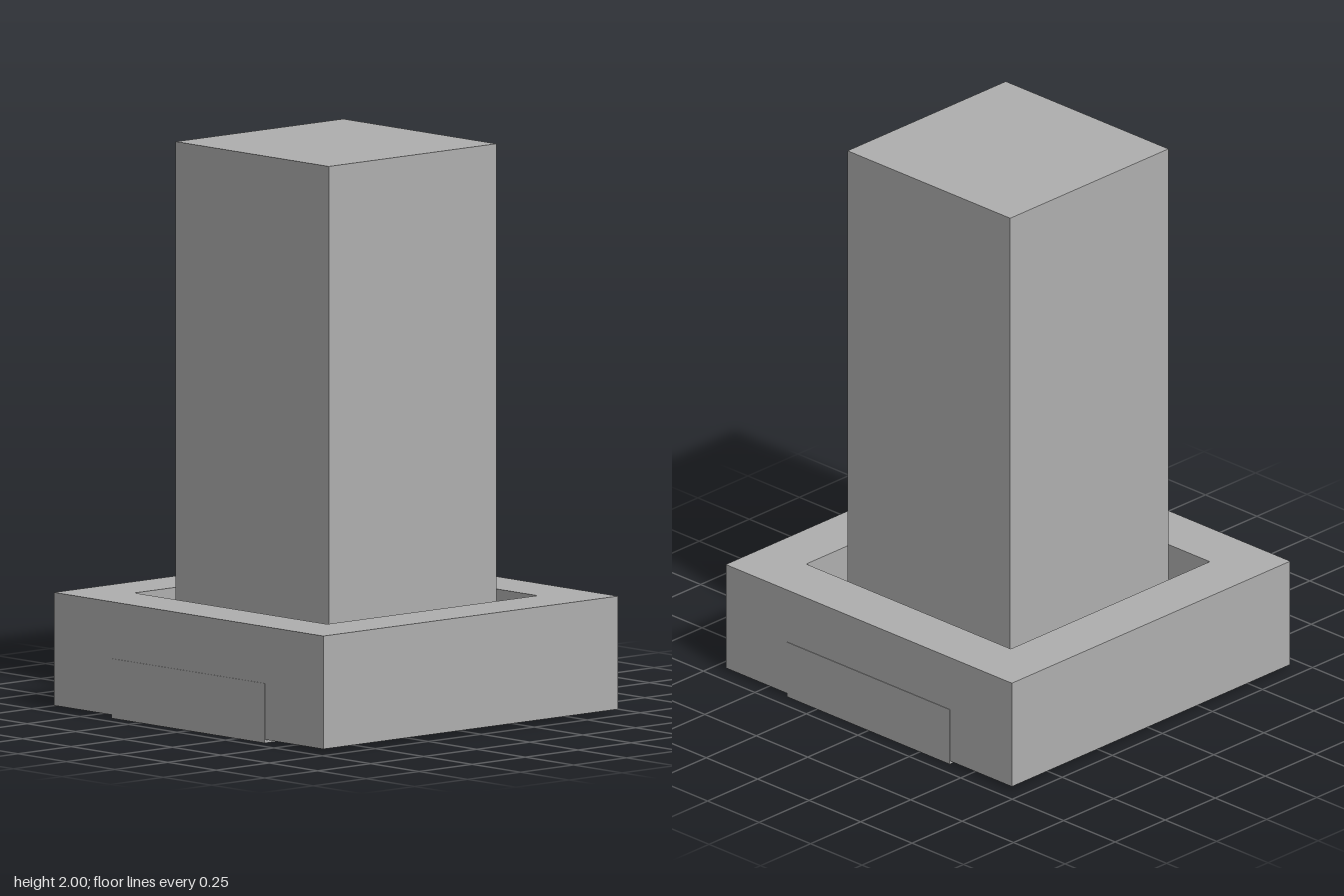
import * as THREE from 'three';

export function createModel() {
  const model = new THREE.Group();
  model.name = 'pillarOnBase';
  const stone = new THREE.MeshStandardMaterial({ color: 0xb0b0b0 });
  stone.name = 'grey';

  const BOTTOM = 0.012, RIM_TOP = 0.41, FLOOR = 0.11;
  const OUTER = 0.695, INNER = 0.497, PILLAR = 0.395;

  // Box given by its minimum and maximum corners
  function box(name, [x0, y0, z0], [x1, y1, z1]) {
    const mesh = new THREE.Mesh(new THREE.BoxGeometry(x1 - x0, y1 - y0, z1 - z0), stone);
    mesh.position.set((x0 + x1) / 2, (y0 + y1) / 2, (z0 + z1) / 2);
    mesh.name = name;
    model.add(mesh);
  }

  function square(path, r) {
    return path.moveTo(-r, -r).lineTo(r, -r).lineTo(r, r).lineTo(-r, r).closePath();
  }

  // Square rim around a sunken well
  const outline = square(new THREE.Shape(), OUTER);
  outline.holes.push(square(new THREE.Path(), INNER));
  const rimGeometry = new THREE.ExtrudeGeometry(outline, { depth: RIM_TOP - BOTTOM, bevelEnabled: false });
  rimGeometry.rotateX(-Math.PI / 2);
  const rim = new THREE.Mesh(rimGeometry, stone);
  rim.position.y = BOTTOM;
  rim.name = 'baseRim';
  model.add(rim);

  // Floor of the well and the tall pillar standing in it
  box('baseFloor', [-INNER, BOTTOM, -INNER], [INNER, FLOOR, INNER]);
  box('pillar', [-PILLAR, FLOOR, -PILLAR], [PILLAR, 2, PILLAR]);

  // Low blocks passing through the left and right sides of the base
  const out = OUTER + 0.002;
  box('leftFoot', [PILLAR, 0, -PILLAR], [out, 0.21, PILLAR]);
  box('rightFoot', [-out, 0, -PILLAR], [-PILLAR, 0.21, PILLAR]);

  return model;
}
